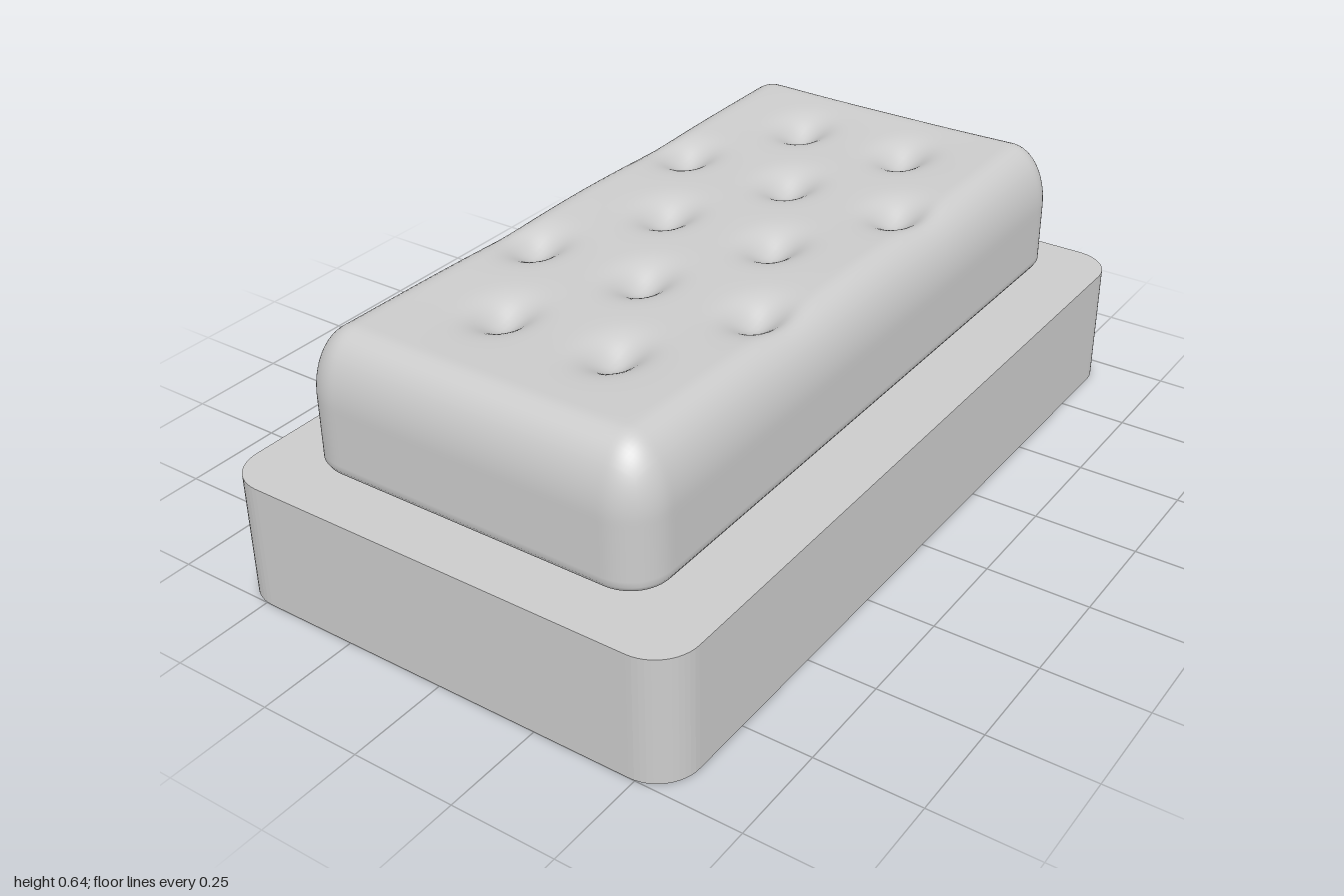
import * as THREE from 'three';
import { mergeVertices } from 'three/addons/utils/BufferGeometryUtils.js';

const material = () => new THREE.MeshStandardMaterial({ color: 0xcccccc });

// Flat slab with rounded vertical corners
function createBase(hx, hz, height, r) {
  const s = new THREE.Shape();
  s.absarc(hx - r, hz - r, r, 0, Math.PI / 2);
  s.absarc(-hx + r, hz - r, r, Math.PI / 2, Math.PI);
  s.absarc(-hx + r, -hz + r, r, Math.PI, Math.PI * 1.5);
  s.absarc(hx - r, -hz + r, r, Math.PI * 1.5, Math.PI * 2);
  s.closePath();
  const geo = new THREE.ExtrudeGeometry(s, { depth: height, bevelEnabled: false, curveSegments: 6 });
  geo.rotateX(-Math.PI / 2);
  const mesh = new THREE.Mesh(geo, material());
  mesh.name = 'base';
  return mesh;
}

// Tuft positions: alternating rows of two and three
function tuftPoints() {
  const points = [];
  for (let row = -2; row <= 2; row++) {
    const xs = row % 2 === 0 ? [-0.147, 0.147] : [-0.297, 0, 0.297];
    for (const x of xs) points.push([x, row * 0.298 - 0.025]);
  }
  return points;
}

// Soft block: box surface pulled onto rounded edges, then dimpled on top
function createCushion(hx, hz, height) {
  let geo = new THREE.BoxGeometry(hx * 2, height, hz * 2, 76, 26, 150);
  geo.deleteAttribute('normal');
  geo.deleteAttribute('uv');
  geo = mergeVertices(geo, 1e-5);
  geo.translate(0, height / 2, 0);

  const r = 0.1, topR = 0.16, bottomR = 0.022;
  const tufts = tuftPoints();
  const pos = geo.attributes.position;
  const p = new THREE.Vector3(), core = new THREE.Vector3(), d = new THREE.Vector3();
  for (let i = 0; i < pos.count; i++) {
    p.fromBufferAttribute(pos, i);
    core.set(
      THREE.MathUtils.clamp(p.x, -hx + r, hx - r),
      THREE.MathUtils.clamp(p.y, bottomR, height - topR),
      THREE.MathUtils.clamp(p.z, -hz + r, hz - r)
    );
    const ry = p.y > core.y ? topR : bottomR;
    d.set((p.x - core.x) / r, (p.y - core.y) / ry, (p.z - core.z) / r).normalize();
    p.set(core.x + d.x * r, core.y + d.y * ry, core.z + d.z * r);

    // Narrow pinch plus a broad sag around every tuft
    let drop = 0;
    for (const [tx, tz] of tufts) {
      const dx = p.x - tx, dz = p.z - tz;
      drop += 0.046 * Math.exp(-0.5 * ((dx / 0.038) ** 2 + (dz / 0.05) ** 2));
      drop += 0.011 * Math.exp(-0.5 * (dx * dx + dz * dz) / 0.0196);
    }
    p.y -= drop * (p.y / height) ** 2;
    pos.setXYZ(i, p.x, p.y, p.z);
  }
  geo.computeVertexNormals();
  const mesh = new THREE.Mesh(geo, material());
  mesh.name = 'tuftedCushion';
  return mesh;
}

export function createModel() {
  const group = new THREE.Group();
  group.name = 'tuftedBench';
  group.add(createBase(0.585, 1, 0.305, 0.1));

  const cushion = createCushion(0.448, 0.898, 0.335);
  cushion.position.set(-0.008, 0.308, -0.018);
  group.add(cushion);
  return group;
}
